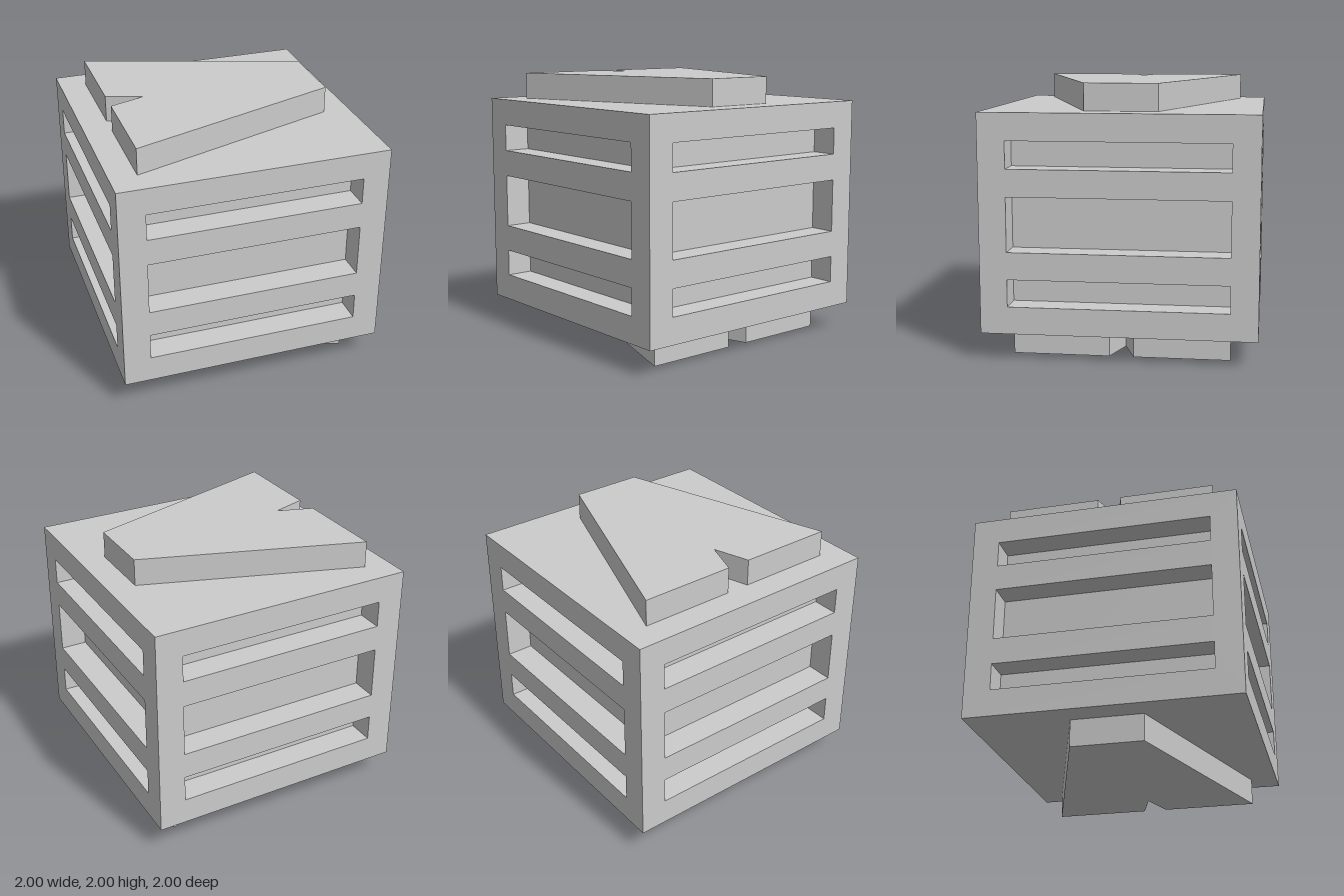
import * as THREE from 'three';

const material = new THREE.MeshStandardMaterial({ color: 0xcccccc, flatShading: true });

const HALF = 1;      // half width of the block
const CORE = 0.8;    // half width inside the slots, half height of the block
const DEPTH = 0.2;   // slot depth and plate thickness

function addMesh(parent, geometry, name) {
  const mesh = new THREE.Mesh(geometry, material);
  mesh.name = name;
  parent.add(mesh);
  return mesh;
}

function rectangle(path, x, y0, y1) {
  return path.setFromPoints([[-x, y0], [x, y0], [x, y1], [-x, y1]].map(([a, b]) => new THREE.Vector2(a, b)));
}

// Slotted wall whose side edges are mitred to meet its neighbours at the corners
function slottedWallGeometry() {
  const shape = rectangle(new THREE.Shape(), HALF, -CORE, CORE);
  for (const [y0, y1] of [[-0.6, -0.4], [-0.2, 0.2], [0.4, 0.6]]) {
    shape.holes.push(rectangle(new THREE.Path(), CORE, y0, y1));
  }
  const geometry = new THREE.ExtrudeGeometry(shape, { depth: DEPTH, bevelEnabled: false });
  const pos = geometry.attributes.position;
  for (let i = 0; i < pos.count; i++) {
    if (pos.getZ(i) < 0.01 && Math.abs(pos.getX(i)) > 0.9) pos.setX(i, Math.sign(pos.getX(i)) * CORE);
  }
  geometry.translate(0, 0, CORE);
  geometry.computeVertexNormals();
  return geometry;
}

// Tapered plate with a V notch in its wide edge
function taperedPlateGeometry() {
  const outline = [[-0.8, -0.8], [0.8, -0.267], [0.8, 0.267], [-0.8, 0.8], [-0.8, 0.089], [-0.533, 0], [-0.8, -0.089]];
  const shape = new THREE.Shape(outline.map(([x, y]) => new THREE.Vector2(x, y)));
  const geometry = new THREE.ExtrudeGeometry(shape, { depth: DEPTH, bevelEnabled: false });
  return geometry.rotateX(-Math.PI / 2).translate(0, CORE, 0);
}

export function createModel() {
  const model = new THREE.Group();
  model.name = 'slottedBlock';

  // Everything is built around the block's centre
  const block = new THREE.Group();
  block.name = 'block';
  block.position.y = 1;
  model.add(block);

  // Solid core forming the slot floors
  addMesh(block, new THREE.BoxGeometry(2 * CORE, 2 * CORE, 2 * CORE), 'core');

  // Four identical slotted walls
  const wall = slottedWallGeometry();
  ['frontWall', 'leftWall', 'backWall', 'rightWall'].forEach((name, i) => {
    addMesh(block, wall, name).rotation.y = (i * Math.PI) / 2;
  });

  // Plates on top and bottom, the lower one turned half round the z axis
  const plate = taperedPlateGeometry();
  addMesh(block, plate, 'topPlate');
  addMesh(block, plate, 'bottomPlate').rotation.z = Math.PI;

  return model;
}
